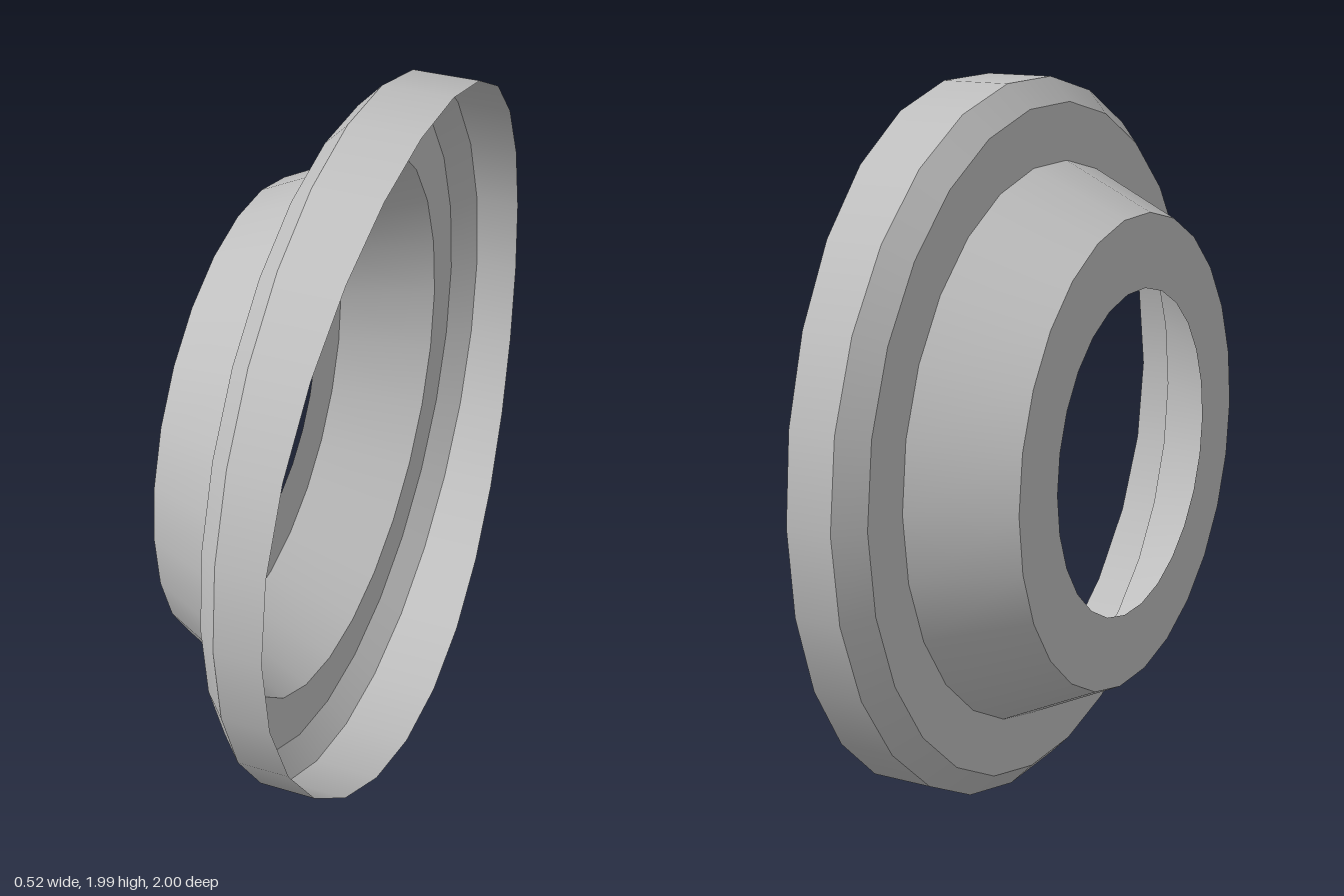
import * as THREE from 'three';

const SIDES = 26;
const CENTRE_Y = Math.cos(Math.PI / SIDES);

// Thin band of revolution around the x axis, from (x0, r0) out to (x1, r1)
function band(name, material, x0, r0, x1, r1) {
  const profile = [new THREE.Vector2(r0, x0), new THREE.Vector2(r1, x1)];
  const geometry = new THREE.LatheGeometry(profile, SIDES);
  geometry.rotateZ(-Math.PI / 2);
  const mesh = new THREE.Mesh(geometry, material);
  mesh.name = name;
  mesh.position.y = CENTRE_Y;
  return mesh;
}

export function createModel() {
  const grey = new THREE.MeshStandardMaterial({ color: 0xbfbfbf, side: THREE.DoubleSide });
  grey.name = 'light grey';

  const group = new THREE.Group();
  group.name = 'flangedRing';

  // Open shell, from the central hole outwards
  group.add(
    band('endFace', grey, -0.26, 0.452, -0.26, 0.655),
    band('taperedCollar', grey, -0.26, 0.655, 0, 0.777),
    band('flangeFace', grey, 0, 0.777, 0, 0.935),
    band('chamfer', grey, 0, 0.935, 0.063, 1),
  );

  // Outer wall, its free edge curved back towards both sides
  const wall = band('outerWall', grey, 0.063, 1, 0.257, 1);
  const pos = wall.geometry.attributes.position;
  for (let i = 0; i < pos.count; i++) {
    if (pos.getX(i) > 0.2) pos.setX(i, 0.257 - 0.067 * pos.getZ(i) ** 2);
  }
  group.add(wall);
  return group;
}
